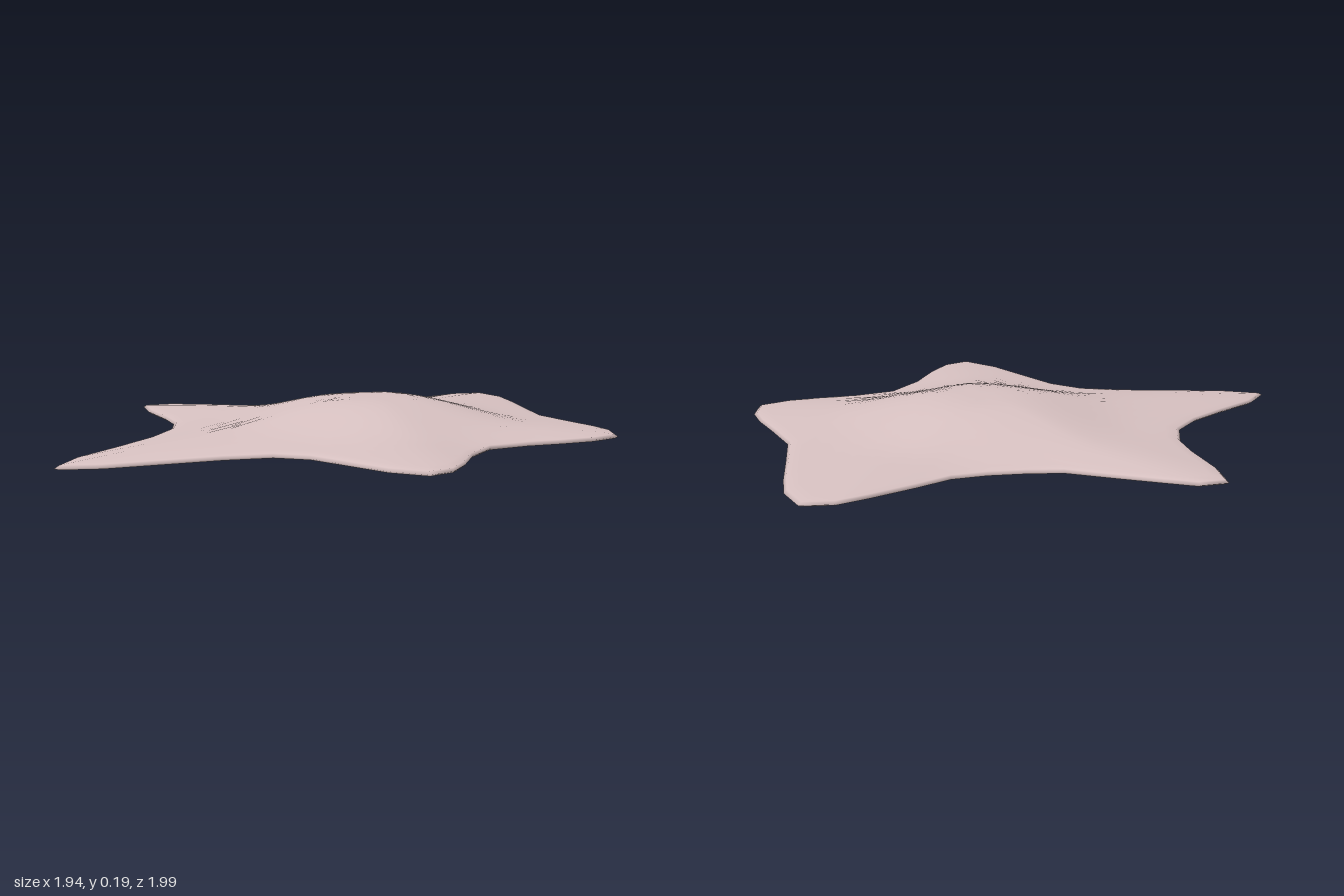
import * as THREE from 'three';
import { mergeVertices } from 'three/addons/utils/BufferGeometryUtils.js';

// Outline of the five arms as x, z pairs, clockwise seen from above
const OUTLINE = [
  0.52, -1.0, 0.6, -0.88, 0.64, -0.73, 0.685, -0.52, 0.73, -0.32, 0.83, -0.16, 0.91, -0.04,
  0.96, 0.06, 0.97, 0.17, 0.88, 0.25, 0.76, 0.31, 0.64, 0.36, 0.5, 0.45, 0.43, 0.62,
  0.4, 0.79, 0.36, 0.92, 0.285, 0.99, 0.15, 0.92, 0, 0.78, -0.12, 0.67, -0.25, 0.62,
  -0.42, 0.64, -0.62, 0.69, -0.82, 0.74, -0.97, 0.74, -0.93, 0.6, -0.82, 0.42,
  -0.72, 0.24, -0.665, 0.07, -0.675, -0.08, -0.73, -0.23, -0.82, -0.42, -0.86, -0.56,
  -0.77, -0.6, -0.65, -0.58, -0.48, -0.55, -0.3, -0.515, -0.17, -0.54, -0.04, -0.58,
  0.08, -0.64, 0.18, -0.75, 0.32, -0.89, 0.41, -0.97,
];
const CENTRE_X = 0.07;
const RIM_Y = 0.065;

// The front right arm droops towards its tip
const droop = (x, z) => 0.03 * THREE.MathUtils.clamp(z - x - 0.7, 0, 1);

// Upper side: a flat-topped dome over gently sloping arms
function topHeight(x, z, t) {
  const r = Math.hypot(x - CENTRE_X, z);
  const dome = 0.072 * (1 - THREE.MathUtils.smoothstep(r, 0.1, 0.6));
  return RIM_Y + dome + 0.043 * (1 - t * t) + (t < 1 ? 0.008 : 0) - droop(x, z);
}

// Underside: a shallow bowl
function bottomHeight(x, z, t) {
  return RIM_Y * Math.pow(t, 1.4) - 0.006 * t - droop(x, z);
}

function starGeometry() {
  const steps = 14;
  const rings = [];
  for (let k = 0; k < steps; k++) rings.push([k / steps, topHeight]);
  rings.push([0.985, topHeight], [1, topHeight], [0.985, bottomHeight]);
  for (let k = steps - 1; k >= 0; k--) rings.push([k / steps, bottomHeight]);

  // Concentric rings run from the top centre over the rim to the bottom centre
  const n = OUTLINE.length / 2;
  const positions = [], index = [];
  rings.forEach(([t, height], k) => {
    for (let i = 0; i < n; i++) {
      const x = CENTRE_X + (OUTLINE[2 * i] - CENTRE_X) * t;
      const z = OUTLINE[2 * i + 1] * t;
      positions.push(x, height(x, z, t), z);
      if (k === rings.length - 1) continue;
      const j = (i + 1) % n;
      const a = k * n + i, b = k * n + j, c = a + n, d = b + n;
      if (k > 0) index.push(a, b, c);
      if (k < rings.length - 2) index.push(b, d, c);
      else index.push(); // the last ring closes in a fan
      if (k === 0) index.push();
    }
  });
  const geometry = new THREE.BufferGeometry();
  geometry.setAttribute('position', new THREE.Float32BufferAttribute(positions, 3));
  geometry.setIndex(index);
  const merged = mergeVertices(geometry, 1e-5);
  merged.computeVertexNormals();
  return merged;
}

export function createModel() {
  const group = new THREE.Group();
  group.name = 'starfish';
  const skin = new THREE.MeshStandardMaterial({ color: 0xd6c0c0 });
  skin.name = 'pale pink';
  const body = new THREE.Mesh(starGeometry(), skin);
  body.name = 'starBody';
  group.add(body);
  return group;
}
